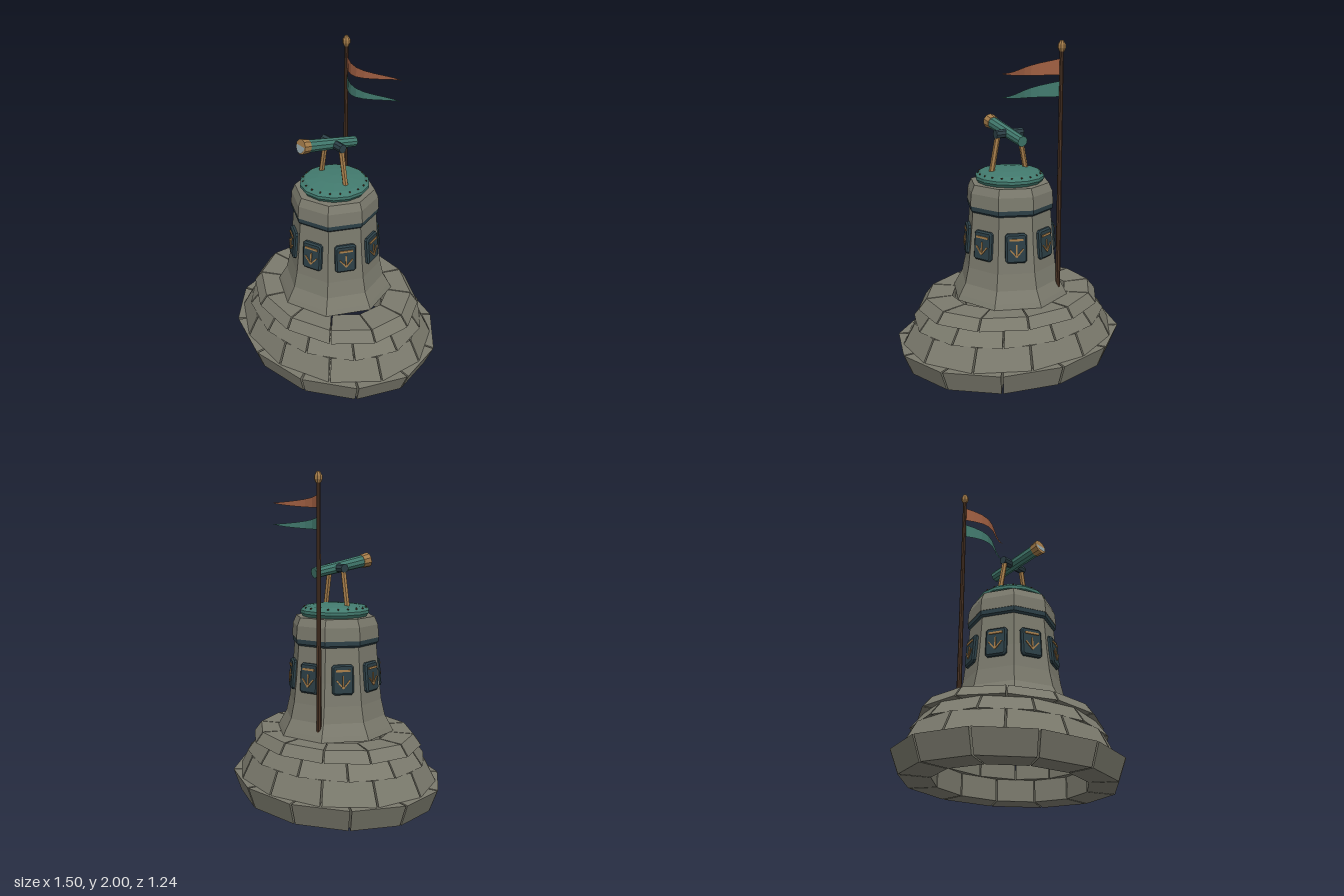
import * as THREE from 'three';
import { mergeGeometries } from 'three/addons/utils/BufferGeometryUtils.js';

const mat = (name, color) => {
  const m = new THREE.MeshStandardMaterial({ color });
  m.name = name;
  return m;
};

// Split faces so every facet gets its own normal
function flat(geo) {
  const g = geo.index ? geo.toNonIndexed() : geo;
  g.computeVertexNormals();
  return g;
}

function add(parent, name, geo, material, x = 0, y = 0, z = 0) {
  const m = new THREE.Mesh(flat(geo), material);
  m.name = name;
  m.position.set(x, y, z);
  parent.add(m);
  return m;
}

const lathe = (pts, sides) =>
  new THREE.LatheGeometry(pts.map(([r, y]) => new THREE.Vector2(r, y)), sides);

// Cylinder between two points
function rod(parent, name, a, b, r0, r1, sides, material) {
  const A = new THREE.Vector3(...a), B = new THREE.Vector3(...b);
  const d = B.clone().sub(A);
  const m = add(parent, name, new THREE.CylinderGeometry(r1, r0, d.length(), sides), material);
  m.position.copy(A).add(B).multiplyScalar(0.5);
  m.quaternion.setFromUnitVectors(new THREE.Vector3(0, 1, 0), d.normalize());
  return m;
}

// One oval ring of twelve wedge-shaped stone blocks with open joints
function stoneTier({ y0, y1, low, high, inner, offset }) {
  const blocks = [], step = Math.PI / 6, gap = 0.009;
  for (let i = 0; i < 12; i++) {
    const g = new THREE.BoxGeometry(1, 1, 1);
    const p = g.attributes.position;
    for (let k = 0; k < p.count; k++) {
      const up = p.getY(k) > 0;
      const a = (i + offset + 0.5) * step + Math.sign(p.getX(k)) * (step / 2 - gap);
      const r = p.getZ(k) > 0 ? (up ? high : low) : inner;
      p.setXYZ(k, r * Math.sin(a), up ? y1 : y0, r * 0.828 * Math.cos(a));
    }
    blocks.push(g);
  }
  return mergeGeometries(blocks);
}

// Pennant that narrows to a point and waves in z
function pennant(top, bottom, tip) {
  const n = 8, g = new THREE.PlaneGeometry(1, 1, n, 1);
  const p = g.attributes.position;
  for (let k = 0; k < p.count; k++) {
    const t = p.getX(k) + 0.5;
    const upper = THREE.MathUtils.lerp(tip, top, (1 - t) ** 1.8);
    const lower = THREE.MathUtils.lerp(bottom, tip, t) - 0.05 * t * (1 - t);
    p.setXYZ(k, -0.2 + 0.44 * t, p.getY(k) > 0 ? upper : lower,
      -0.245 + 0.06 * Math.sin(t * Math.PI * 1.5));
  }
  return g;
}

export function createModel() {
  const stone = mat('stone', 0x7b7a6d);
  const teal = mat('teal', 0x427a6e);
  const slate = mat('dark slate', 0x2c3f46);
  const bronze = mat('bronze', 0xa47c4a);
  const rust = mat('rust', 0xa05f42);
  const wood = mat('dark wood', 0x4a3324);
  const glass = mat('glass', 0x8b9ba0);
  rust.side = teal.side = THREE.DoubleSide;

  const model = new THREE.Group();
  model.name = 'lookoutTower';

  // Stepped stone base
  [
    { y0: 0, y1: 0.135, low: 0.695, high: 0.75, inner: 0.5, offset: 0 },
    { y0: 0.135, y1: 0.265, low: 0.709, high: 0.635, inner: 0.47, offset: 0.5 },
    { y0: 0.265, y1: 0.355, low: 0.643, high: 0.567, inner: 0.43, offset: 0 },
    { y0: 0.355, y1: 0.42, low: 0.607, high: 0.553, inner: 0.385, offset: 0.5 },
  ].forEach((t, i) => add(model, 'stoneTier' + (i + 1), stoneTier(t), stone));

  // Eight-sided tower, band and cap
  add(model, 'towerShaft', lathe([[0, 0.42], [0.375, 0.42], [0.36, 0.45], [0.32, 0.52],
    [0.297, 0.62], [0.28, 0.76], [0.262, 0.98], [0, 0.98]], 8), stone);
  add(model, 'towerBand', lathe([[0, 0.97], [0.264, 0.97], [0.275, 0.982], [0.275, 1.012],
    [0, 1.012]], 8), slate);
  add(model, 'towerCap', lathe([[0, 1.01], [0.278, 1.01], [0.272, 1.09], [0.25, 1.14],
    [0, 1.14]], 8), stone);

  // Plaques with bronze inlay on each tower face
  const w = 0.056, h = 0.081, c = 0.008;
  const plate = new THREE.Shape([[-w + c, -h], [w - c, -h], [w, -h + c], [w, h - c],
    [w - c, h], [-w + c, h], [-w, h - c], [-w, -h + c]].map(([x, y]) => new THREE.Vector2(x, y)));
  const plateGeo = new THREE.ExtrudeGeometry(plate, { depth: 0.02, bevelEnabled: true,
    bevelSize: 0.01, bevelThickness: 0.01, bevelSegments: 1 });
  for (let i = 0; i < 8; i++) {
    const a = (i + 0.5) * Math.PI / 4;
    const plaque = new THREE.Group();
    plaque.name = 'plaque';
    plaque.position.set(0.252 * Math.sin(a), 0.78, 0.252 * Math.cos(a));
    plaque.rotation.set(-0.08, a, 0, 'YXZ');
    add(plaque, 'plaquePlate', plateGeo, slate);
    add(plaque, 'inlayBar', new THREE.BoxGeometry(0.086, 0.013, 0.008), bronze, 0, 0.055, 0.032);
    add(plaque, 'inlayStem', new THREE.BoxGeometry(0.008, 0.075, 0.008), bronze, 0, -0.012, 0.032);
    for (const s of [-1, 1]) {
      const arm = add(plaque, 'inlayArm', new THREE.BoxGeometry(0.008, 0.064, 0.008), bronze,
        s * 0.02, -0.027, 0.032);
      arm.rotation.z = -s * 0.7;
    }
    model.add(plaque);
  }

  // Riveted roof
  add(model, 'roof', lathe([[0, 1.138], [0.2, 1.138], [0.216, 1.16], [0.216, 1.178],
    [0.185, 1.204], [0.1, 1.215], [0, 1.22]], 14), teal);
  for (let i = 0; i < 20; i++) {
    const a = (i + 0.5) * Math.PI / 10;
    add(model, 'rivet', new THREE.IcosahedronGeometry(0.0065, 0), wood,
      0.195 * Math.sin(a), 1.194, 0.195 * Math.cos(a));
  }

  // Telescope stand
  for (const s of [-1, 1])
    rod(model, 'standLeg', [s * 0.124, 1.195, 0.01], [s * 0.077, 1.43, 0.01], 0.017, 0.017, 6, bronze);
  rod(model, 'standAxle', [-0.096, 1.435, 0.01], [0.096, 1.435, 0.01], 0.027, 0.027, 8, slate);

  // Telescope, lying along its own z axis and tilted up to the front
  const scope = new THREE.Group();
  scope.name = 'telescope';
  scope.position.set(0, 1.437, 0.01);
  scope.rotation.x = -0.18;
  rod(scope, 'scopeTube', [0, 0, -0.165], [0, 0, 0.195], 0.033, 0.039, 10, teal);
  rod(scope, 'scopeRim', [0, 0, 0.19], [0, 0, 0.24], 0.042, 0.047, 10, bronze);
  const lens = add(scope, 'scopeLens', new THREE.CircleGeometry(0.039, 12), glass, 0, 0, 0.241);
  lens.rotation.x = -0.18;
  model.add(scope);

  // Flagpole, finial and pennants
  rod(model, 'flagpole', [-0.207, 0.415, -0.245], [-0.207, 1.945, -0.245], 0.016, 0.012, 8, wood);
  add(model, 'finial', lathe([[0, 1.935], [0.015, 1.935], [0.024, 1.955], [0.024, 1.975],
    [0.01, 2], [0, 2]], 8), bronze, -0.207, 0, -0.245);
  add(model, 'upperPennant', pennant(1.895, 1.8, 1.833), rust);
  add(model, 'lowerPennant', pennant(1.765, 1.673, 1.703), teal);

  return model;
}
